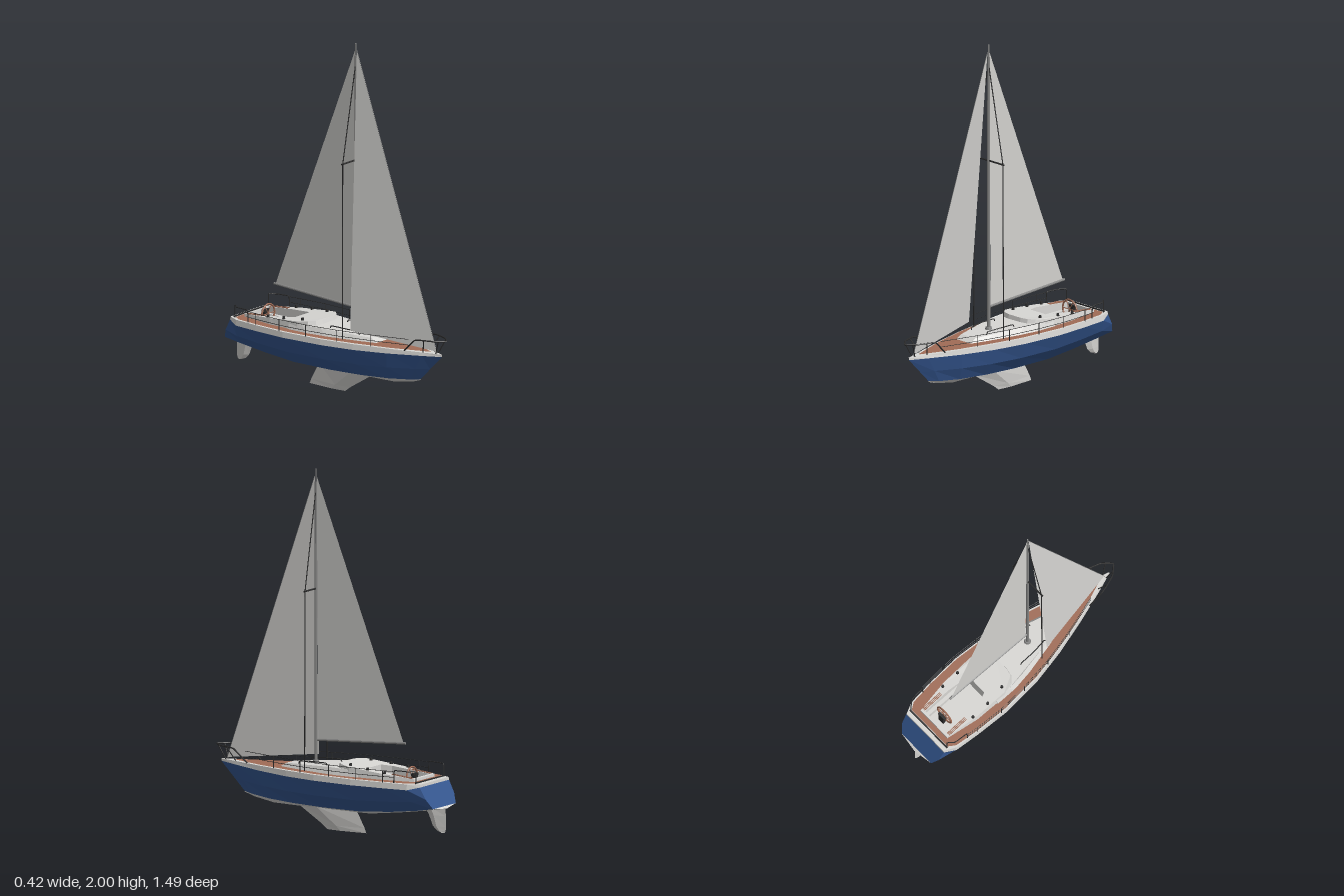
import * as THREE from 'three';

const mat = (name, color, side = THREE.FrontSide) => {
  const m = new THREE.MeshStandardMaterial({ color, side, flatShading: true });
  m.name = name;
  return m;
};
const V = (x, y, z) => new THREE.Vector3(x, y, z);

export function createModel() {
  const root = new THREE.Group();
  const white = mat('offWhite', 0xd8d7d4);
  const cloth = mat('sailCloth', 0xd2d1ce, THREE.DoubleSide);
  const blue = mat('hullBlue', 0x34568f);
  const teak = mat('teak', 0xa06c56);
  const alloy = mat('sparGrey', 0x868685);
  const black = mat('rigBlack', 0x2a2a2a);

  const add = (name, geo, material, parent = root) => {
    const m = new THREE.Mesh(geo, material);
    m.name = name;
    parent.add(m);
    return m;
  };
  const group = (name) => {
    const g = new THREE.Group();
    g.name = name;
    root.add(g);
    return g;
  };
  const facets = (points) => {
    const g = new THREE.BufferGeometry().setFromPoints(points);
    g.computeVertexNormals();
    return g;
  };
  const rod = (name, a, b, r, material, parent, r2 = r) => {
    const m = add(name, new THREE.CylinderGeometry(r2, r, a.distanceTo(b), 8), material, parent);
    m.position.copy(a).lerp(b, 0.5);
    m.quaternion.setFromUnitVectors(V(0, 1, 0), b.clone().sub(a).normalize());
    return m;
  };
  const pipe = (name, pts, r, material, parent) =>
    add(name, new THREE.TubeGeometry(new THREE.CatmullRomCurve3(pts, false, 'catmullrom', 0.15), 48, r, 6), material, parent);

  // Hull stations, bow to stern: top z, half beam, low z, waterline half beam, waterline y, bottom y
  const stations = [
    [0.71, 0.002, 0.56, 0.002, 0.168, 0.163], [0.6, 0.04, 0.5, 0.022, 0.16, 0.143],
    [0.4, 0.1, 0.37, 0.052, 0.15, 0.12], [0.2, 0.152, 0.2, 0.082, 0.145, 0.117],
    [0, 0.19, 0, 0.1, 0.142, 0.115], [-0.25, 0.208, -0.25, 0.106, 0.142, 0.115],
    [-0.45, 0.198, -0.45, 0.104, 0.158, 0.14], [-0.6, 0.184, -0.62, 0.108, 0.18, 0.165],
    [-0.665, 0.152, -0.73, 0.118, 0.2, 0.188],
  ];
  const section = ([zT, w, zL, wl, yl, yb]) => {
    const yE = 0.303 + 0.045 * Math.max(0, zT - 0.3) + (zT < -0.65 ? 0.016 : 0);
    const edge = V(w, yE, zT), low = V(wl, yl, zL);
    const mid = edge.clone().lerp(low, 0.55);
    mid.x += w * 0.09;
    return [V(Math.max(w - 0.004, 0.001), 0.335, zT), edge, mid, low, V(0, yb, zL < -0.7 ? zL - 0.015 : zL)];
  };
  const port = stations.map(section);
  const girth = [...port, ...port.map((s) => s.map((p) => V(-p.x, p.y, p.z))).reverse()];
  const strake = (from, to) => {
    const pts = [];
    for (let i = 0; i < girth.length - 1; i++)
      for (let j = from; j < to; j++) {
        const a = girth[i][j], b = girth[i][j + 1], c = girth[i + 1][j + 1], d = girth[i + 1][j];
        pts.push(a, b, c, a, c, d);
      }
    return facets(pts);
  };
  add('sheerBand', strake(0, 1), white);
  add('topsides', strake(1, 3), blue);
  add('hullBottom', strake(3, 4), white);

  // Plan outlines are [z, half width] pairs mirrored across x = 0
  const outline = (pts, Type = THREE.Shape) => new Type([
    ...pts.map(([z, w]) => new THREE.Vector2(w, -z)),
    ...pts.filter((p) => p[1] > 0).reverse().map(([z, w]) => new THREE.Vector2(-w, -z)),
  ]);
  const well = [[-0.28, 0.062], [-0.34, 0.084], [-0.585, 0.084]];
  const flat = (name, pts, y, material, holed = true) => {
    const s = outline(pts);
    if (holed) s.holes.push(outline(well, THREE.Path));
    add(name, new THREE.ShapeGeometry(s).rotateX(-Math.PI / 2).translate(0, y, 0), material);
  };
  flat('deckEdge', stations.map(([z, w]) => [z, Math.max(w - 0.004, 0.001)]), 0.335, white);
  flat('teakDeck', [[0.63, 0.004], [0.5, 0.052], [0.4, 0.086], [0.2, 0.138], [0, 0.178], [-0.25, 0.196],
    [-0.45, 0.187], [-0.59, 0.172], [-0.63, 0.145]], 0.338, teak);
  flat('cockpitFloor', well, 0.285, white, false);

  // Deckhouse blocks: extruded plan, top height by rule, sides leaning inward
  const house = (name, pts, y0, top, lean, holed) => {
    const s = outline(pts);
    if (holed) s.holes.push(outline(well, THREE.Path));
    const g = new THREE.ExtrudeGeometry(s, { depth: 1, bevelEnabled: false }).rotateX(-Math.PI / 2);
    const p = g.attributes.position;
    for (let i = 0; i < p.count; i++) {
      const x = p.getX(i), t = p.getY(i), z = p.getZ(i);
      const inner = holed && Math.abs(x) < 0.086 && z < -0.27;
      p.setXYZ(i, inner ? x : x * (1 - 0.1 * t), y0 + t * (top(z) - y0), z > -0.15 ? z - lean * t : z);
    }
    g.computeVertexNormals();
    add(name, g, white);
  };
  house('cabinTrunk', [[0.305, 0.06], [0.2, 0.09], [0, 0.135], [-0.12, 0.152], [-0.26, 0.152]], 0.33,
    (z) => 0.375 - 0.05 * Math.max(0, z), 0.05, false);
  house('cockpitCoaming', [[-0.07, 0.05], [-0.08, 0.1], [-0.11, 0.135], [-0.2, 0.153], [-0.4, 0.15], [-0.6, 0.118]], 0.28,
    (z) => 0.398 - 0.09 * Math.max(0, -0.1 - z), 0.03, true);

  // Cockpit fittings
  for (const s of [-1, 1]) {
    add('cockpitSeat', new THREE.BoxGeometry(0.022, 0.035, 0.25).translate(s * 0.074, 0.302, -0.46), white);
    for (const x of [0.094, 0.102, 0.11]) {
      const slat = add('coamingSlat', new THREE.BoxGeometry(0.004, 0.004, 0.13), teak);
      slat.position.set(s * x * 0.97, 0.361, -0.52);
      slat.rotation.x = -0.09;
    }
    for (const [x, z] of [[0.122, -0.42], [0.122, -0.31], [0.106, -0.19]])
      add('winch', new THREE.CylinderGeometry(0.007, 0.009, 0.018, 10).translate(s * x, 0.404 - 0.09 * (-0.1 - z), z), black);
    pipe('cabinHandrail', [V(s * 0.075, 0.372, -0.02), V(s * 0.075, 0.385, -0.01), V(s * 0.073, 0.385, 0.08),
      V(s * 0.062, 0.38, 0.165), V(s * 0.06, 0.362, 0.175)], 0.003, black);
  }
  const helm = group('steeringWheel');
  helm.position.set(0, 0.345, -0.52);
  add('wheelRim', new THREE.TorusGeometry(0.055, 0.005, 6, 24), teak, helm);
  for (let i = 0; i < 6; i++) {
    const a = (i * Math.PI) / 3;
    rod('wheelSpoke', V(0, 0, 0), V(Math.cos(a) * 0.055, Math.sin(a) * 0.055, 0), 0.0025, teak, helm);
  }
  add('helmPedestal', new THREE.BoxGeometry(0.035, 0.075, 0.018).translate(0, 0.322, -0.538), black);
  add('binnacle', new THREE.BoxGeometry(0.052, 0.014, 0.016).translate(0, 0.36, -0.538), black);
  add('sternTrack', new THREE.BoxGeometry(0.3, 0.006, 0.008).translate(0, 0.341, -0.638), black);

  // Fin keel: lofted from a wide root to a thin tip
  const foil = (lead, trail, y, t) => [V(0, y, lead), V(t, y, lead * 0.65 + trail * 0.35), V(0, y, trail), V(-t, y, lead * 0.65 + trail * 0.35)];
  const loft = (rings) => {
    const pts = [];
    for (let i = 0; i < rings.length - 1; i++)
      for (let k = 0; k < 4; k++) {
        const n = (k + 1) % 4, [A, B] = [rings[i], rings[i + 1]];
        pts.push(A[k], B[k], B[n], A[k], B[n], A[n]);
      }
    const e = rings[rings.length - 1];
    pts.push(e[0], e[3], e[2], e[0], e[2], e[1]);
    return facets(pts.reverse());
  };
  const fins = cloth;
  add('keel', loft([foil(0.22, -0.16, 0.13, 0.026), foil(0.06, -0.215, 0.03, 0.013), foil(0.025, -0.226, 0.003, 0.009)]), fins);
  add('rudder', loft([foil(-0.6, -0.738, 0.19, 0.014), foil(-0.63, -0.739, 0.145, 0.013), foil(-0.655, -0.74, 0.085, 0.011),
    foil(-0.68, -0.738, 0.062, 0.008), foil(-0.71, -0.733, 0.05, 0.005)]), fins);

  // Spars and sails
  rod('mast', V(0, 0.36, 0.1), V(0, 1.93, 0.1), 0.0095, alloy, root, 0.007);
  rod('mastHead', V(0, 1.92, 0.1), V(0, 2, 0.1), 0.004, alloy);
  add('mastCollar', new THREE.CylinderGeometry(0.016, 0.02, 0.014, 14).translate(0, 0.374, 0.1), alloy);
  rod('boom', V(0, 0.495, 0.09), V(0, 0.526, -0.478), 0.007, alloy);
  add('mainsail', facets([V(0, 1.96, 0.095), V(0, 0.5, 0.085), V(0, 0.53, -0.465)]), cloth);
  add('jib', facets([V(0, 1.96, 0.108), V(-0.106, 0.395, 0.147), V(0, 0.345, 0.672)]), cloth);
  rod('forestay', V(0, 1.96, 0.108), V(0, 0.335, 0.676), 0.0015, alloy);

  // Standing rigging
  rod('spreader', V(-0.122, 1.335, 0.1), V(0.122, 1.335, 0.1), 0.005, black);
  for (const s of [-1, 1]) {
    rod('lowerShroud', V(s * 0.117, 0.335, 0.1), V(s * 0.113, 1.335, 0.1), 0.003, black);
    rod('upperShroud', V(s * 0.113, 1.335, 0.1), V(0, 1.89, 0.1), 0.003, black);
  }

  // Guard rails
  const rails = group('guardRails');
  pipe('bowPulpit', [V(-0.07, 0.336, 0.5), V(-0.08, 0.41, 0.58), V(-0.072, 0.416, 0.62), V(-0.048, 0.416, 0.69), V(0, 0.416, 0.741),
    V(0.048, 0.416, 0.69), V(0.072, 0.416, 0.62), V(0.08, 0.41, 0.58), V(0.07, 0.336, 0.5)], 0.004, black, rails);
  const beam = (z) => {
    const i = stations.findIndex((s) => s[0] <= z), [a, b] = [stations[i - 1], stations[i]];
    return THREE.MathUtils.lerp(a[1], b[1], (a[0] - z) / (a[0] - b[0])) - 0.006;
  };
  const posts = [0.3, 0.1, -0.1, -0.28, -0.45];
  for (const s of [-1, 1]) {
    rod('pulpitLeg', V(s * 0.03, 0.336, 0.6), V(s * 0.068, 0.414, 0.635), 0.003, black, rails);
    rod('pulpitLeg', V(s * 0.012, 0.336, 0.675), V(s * 0.032, 0.414, 0.71), 0.003, black, rails);
    for (const z of posts) rod('stanchion', V(s * beam(z), 0.33, z), V(s * beam(z), 0.402, z), 0.002, black, rails);
    for (const y of [0.368, 0.4])
      pipe('lifeline', [0.52, ...posts, -0.52].map((z) => V(s * beam(z), y, z)), 0.0016, black, rails);
    pipe('sternRail', [V(s * 0.18, 0.335, -0.515), V(s * 0.18, 0.404, -0.52), V(s * 0.172, 0.404, -0.6),
      V(s * 0.145, 0.404, -0.635), V(s * 0.145, 0.335, -0.636)], 0.003, black, rails);
  }
  return root;
}
